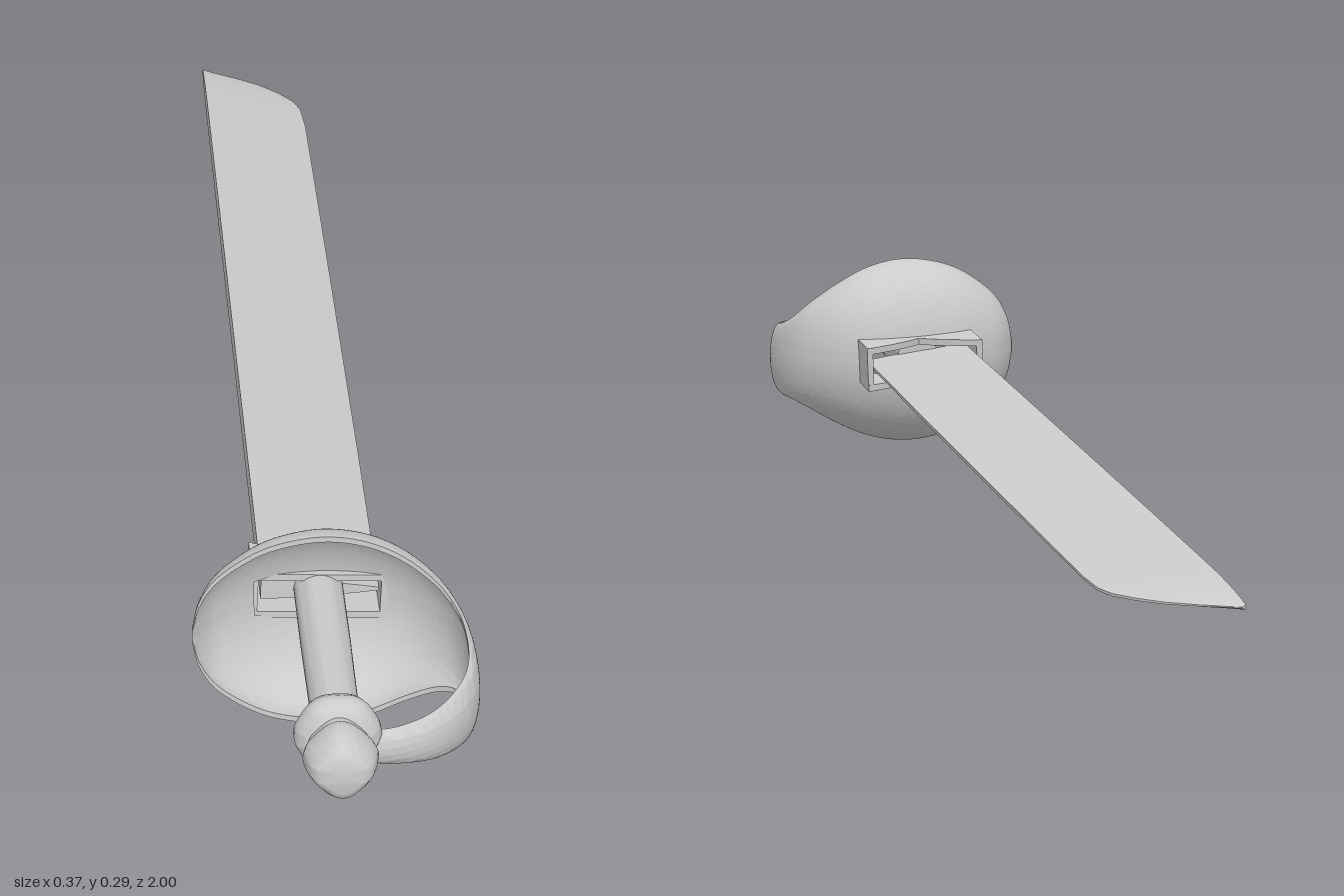
import * as THREE from 'three';
import { toCreasedNormals } from 'three/addons/utils/BufferGeometryUtils.js';

const material = new THREE.MeshStandardMaterial({ color: 0xcccccc });

function part(name, geometry) {
  const mesh = new THREE.Mesh(geometry, material);
  mesh.name = name;
  return mesh;
}

// Skin closed rings of Vector3 into a capped solid; quads for which skip() holds are left open.
function loft(rings, crease, skip = () => false) {
  const n = rings[0].length;
  const positions = rings.flat().flatMap((p) => [p.x, p.y, p.z]);
  const index = [];
  for (let k = 0; k < rings.length - 1; k++) {
    for (let i = 0; i < n; i++) {
      const j = (i + 1) % n;
      if ([rings[k][i], rings[k][j], rings[k + 1][i], rings[k + 1][j]].every(skip)) continue;
      const a = k * n + i, b = k * n + j, c = b + n, d = a + n;
      index.push(a, b, d, b, c, d);
    }
  }
  const last = (rings.length - 1) * n;
  for (let i = 0; i < n / 2 - 1; i++) {
    const j = n - 1 - i;
    index.push(i, j, i + 1, j, j - 1, i + 1);
    index.push(last + i, last + i + 1, last + j, last + j, last + i + 1, last + j - 1);
  }
  const geometry = new THREE.BufferGeometry();
  geometry.setAttribute('position', new THREE.Float32BufferAttribute(positions, 3));
  geometry.setIndex(index);
  return toCreasedNormals(geometry, crease);
}

// Wedge blade: thick spine at -x, thin edge at +x, rounded point.
function bladeGeometry() {
  const spine = -0.077, steps = 6;
  // z, edge x, half thickness at the spine
  const stations = [
    [0.565, 0.081, 0.016], [0.2, 0.081, 0.016], [-0.3, 0.08, 0.015], [-0.6, 0.079, 0.014],
    [-0.8, 0.078, 0.013], [-0.86, 0.074, 0.0125], [-0.89, 0.064, 0.012], [-0.92, 0.042, 0.0105],
    [-0.95, 0.012, 0.009], [-0.975, -0.025, 0.007], [-0.992, -0.055, 0.005], [-1.002, -0.073, 0.003],
  ];
  const rings = stations.map(([z, edge, half]) => {
    const top = [], bottom = [];
    for (let i = 0; i <= steps; i++) {
      const u = i / steps;
      const x = THREE.MathUtils.lerp(spine, edge, u);
      const y = half * (1 - 0.85 * u ** 1.6);
      top.push(new THREE.Vector3(x, y, z));
      bottom.unshift(new THREE.Vector3(x, -y, z));
    }
    return [...top, ...bottom];
  });
  return loft(rings, 0.6);
}

// Bowl guard flowing into the knuckle strap: one sweep of half-ellipse sections.
function guardGeometry() {
  // middle x, middle z, rim x, rim z, half width, centre y
  const stations = [
    [-0.186, 0.654, -0.186, 0.66, 0.012, -0.005], [-0.175, 0.632, -0.176, 0.66, 0.052, -0.005],
    [-0.15, 0.604, -0.151, 0.66, 0.09, -0.005], [-0.1, 0.578, -0.1, 0.66, 0.126, -0.005],
    [-0.05, 0.565, -0.05, 0.66, 0.142, -0.005], [0, 0.56, 0, 0.66, 0.145, -0.005],
    [0.06, 0.567, 0.05, 0.66, 0.134, -0.006], [0.11, 0.59, 0.095, 0.662, 0.112, -0.008],
    [0.15, 0.63, 0.135, 0.675, 0.086, -0.013], [0.173, 0.675, 0.16, 0.7, 0.066, -0.022],
    [0.183, 0.73, 0.168, 0.738, 0.058, -0.03], [0.18, 0.79, 0.165, 0.785, 0.052, -0.034],
    [0.16, 0.842, 0.147, 0.83, 0.045, -0.033], [0.12, 0.885, 0.112, 0.872, 0.036, -0.03],
    [0.07, 0.91, 0.066, 0.896, 0.028, -0.026], [0.01, 0.92, 0.01, 0.906, 0.022, -0.02],
  ];
  const middle = new THREE.CatmullRomCurve3(
    stations.map(([x, z, , , w]) => new THREE.Vector3(x, w, z)), false, 'catmullrom');
  const rim = new THREE.CatmullRomCurve3(
    stations.map(([, , x, z, , cy]) => new THREE.Vector3(x, cy, z)), false, 'catmullrom');
  const T = 120, U = 60;
  const rings = [];
  for (let t = 0; t <= T; t++) {
    const m = middle.getPoint(t / T), r = rim.getPoint(t / T);
    const inset = Math.min(0.6, 0.01 / Math.hypot(r.x - m.x, r.z - m.z));
    const wall = Math.min(0.008, m.y * 0.4);
    const outer = [], inner = [];
    for (let u = 0; u <= U; u++) {
      const a = (u / U - 0.5) * Math.PI, c = Math.cos(a), s = Math.sin(a);
      const at = (depth, width) => new THREE.Vector3(
        THREE.MathUtils.lerp(r.x, m.x, depth * c), r.y + width * s, THREE.MathUtils.lerp(r.z, m.z, depth * c));
      outer.push(at(1, m.y));
      inner.unshift(at(1 - inset, m.y - wall));
    }
    rings.push([...outer, ...inner]);
  }
  // rectangular opening where the collar passes through
  const inSlot = (p) => p.z < 0.62 && Math.abs(p.x + 0.013) < 0.091
    && Math.abs(p.y + 0.05 * (p.x + 0.013)) < 0.034;
  return loft(rings, 0.8, inSlot);
}

// Hollow rectangular collar with notched top and bottom plates.
function createCollar() {
  const collar = new THREE.Group();
  collar.name = 'collar';
  const outline = new THREE.Shape();
  outline.moveTo(-0.091, -0.584);
  outline.lineTo(0.091, -0.584);
  outline.lineTo(0.091, -0.503);
  outline.quadraticCurveTo(0.04, -0.52, 0, -0.55);
  outline.quadraticCurveTo(-0.04, -0.52, -0.091, -0.503);
  const plate = new THREE.ExtrudeGeometry(outline, { depth: 0.01, bevelEnabled: false, curveSegments: 6 });
  plate.rotateX(-Math.PI / 2);
  for (const [name, y] of [['collarTop', 0.024], ['collarBottom', -0.034]]) {
    const mesh = part(name, plate);
    mesh.position.y = y;
    collar.add(mesh);
  }
  for (const side of [-1, 1]) {
    const wall = part('collarSide', new THREE.BoxGeometry(0.009, 0.066, 0.078));
    wall.position.set(side * 0.0865, 0, 0.5445);
    collar.add(wall);
  }
  return collar;
}

// Turned part along z from [radius, z] pairs, with optional lobes around the axis.
function turned(profile, lobes = 0, depth = 0) {
  const geometry = new THREE.LatheGeometry(profile.map(([r, z]) => new THREE.Vector2(r, z)), 48);
  const p = geometry.attributes.position;
  for (let i = 0; i < p.count; i++) {
    const k = 1 + depth * Math.cos(lobes * Math.atan2(p.getZ(i), p.getX(i)));
    p.setXYZ(i, p.getX(i) * k, p.getY(i), p.getZ(i) * k);
  }
  geometry.rotateX(Math.PI / 2);
  return toCreasedNormals(geometry, 0.7);
}

export function createModel() {
  const model = new THREE.Group();
  model.name = 'sword';

  // the whole sword leans slightly, point down
  const sword = new THREE.Group();
  sword.name = 'tiltedSword';
  sword.position.y = 0.105;
  sword.rotation.x = -0.073;
  model.add(sword);
  sword.add(part('guard', guardGeometry()));

  const axis = new THREE.Group();
  axis.name = 'bladeAndHilt';
  axis.position.x = -0.013;
  sword.add(axis);

  // blade and collar are rolled a little about the long axis
  const rolled = new THREE.Group();
  rolled.name = 'bladeAssembly';
  rolled.rotation.z = -0.05;
  rolled.add(part('blade', bladeGeometry()), createCollar());
  axis.add(rolled);

  axis.add(
    part('grip', turned([[0, 0.56], [0.033, 0.56], [0.033, 0.7], [0.031, 0.9], [0, 0.9]])),
    part('pommelRing', turned([
      [0, 0.88], [0.04, 0.88], [0.05, 0.886], [0.055, 0.897], [0.055, 0.908],
      [0.05, 0.918], [0.04, 0.926], [0, 0.93],
    ], 6, 0.02)),
    part('pommelKnob', turned([
      [0, 0.915], [0.038, 0.92], [0.037, 0.932], [0.043, 0.942], [0.046, 0.955], [0.043, 0.972],
      [0.038, 0.988], [0.032, 0.998], [0.024, 1.002], [0, 1.002],
    ], 4, 0.05)),
  );
  return model;
}
